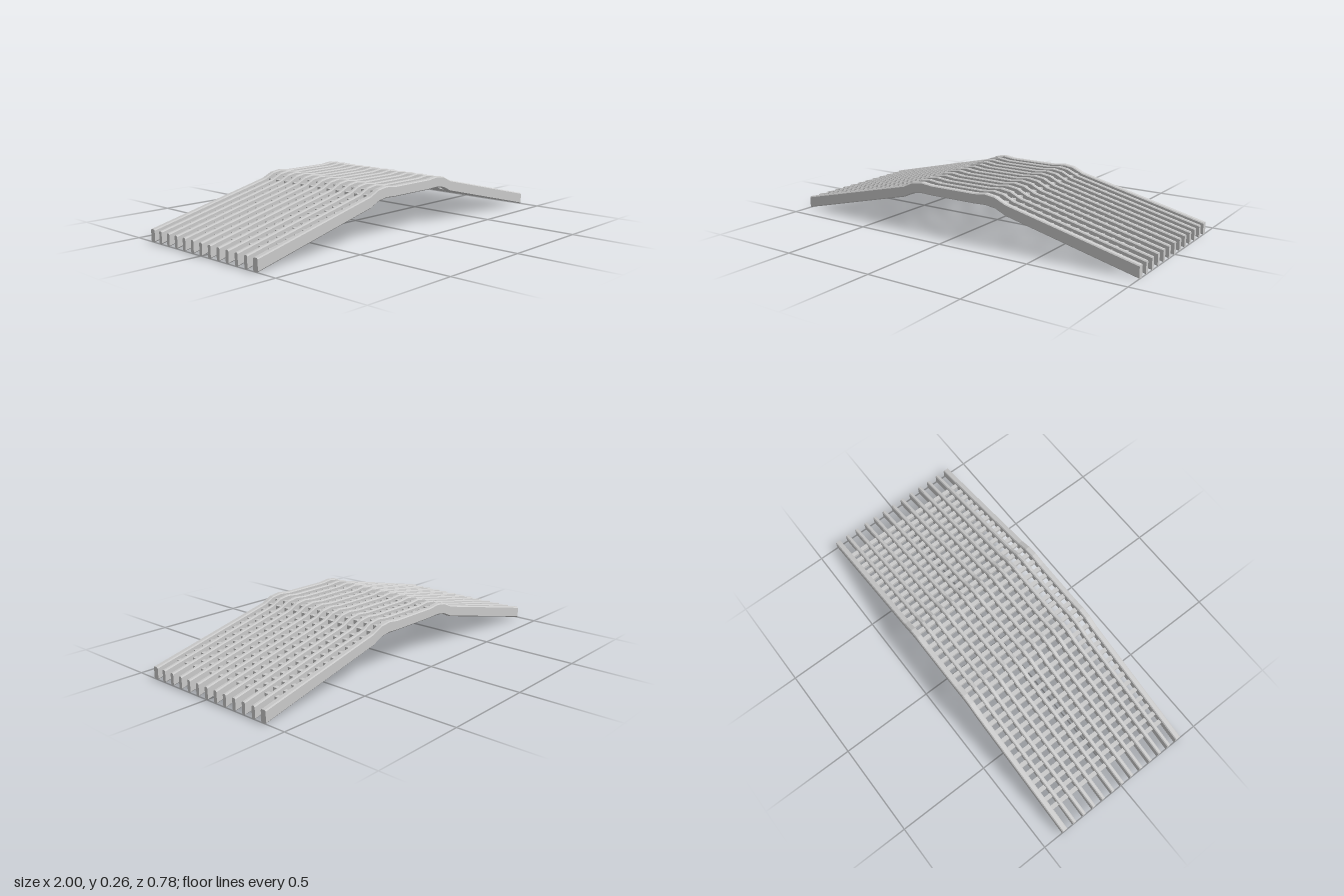
import * as THREE from 'three';

// Bar centreline from one end to the other: [x, y, half height]
const half = [[-1, 0.031, 0.031], [-0.31, 0.194, 0.029], [-0.25, 0.221, 0.029], [-0.195, 0.229, 0.0285], [-0.13, 0.224, 0.026]];
const path = [...half, ...half.map(([x, y, h]) => [-x, y, h]).reverse()];

// Centreline height at any x
function heightAt(x) {
  const i = Math.max(1, path.findIndex((p) => p[0] >= x));
  const [a, b] = [path[i - 1], path[i]];
  return THREE.MathUtils.mapLinear(x, a[0], b[0], a[1], b[1]);
}

// Chamfered section extruded one step per path point, then bent onto the path
function bentBar(width) {
  const w = width / 2, c = 0.005, k = 0.83; // k: chamfer start as a share of half height
  const section = new THREE.Shape([
    [w - c, -1], [w, -k], [w, k], [w - c, 1], [c - w, 1], [-w, k], [-w, -k], [c - w, -1],
  ].map(([x, y]) => new THREE.Vector2(x, y)));
  const steps = path.length - 1;
  const geo = new THREE.ExtrudeGeometry(section, { depth: steps, steps, bevelEnabled: false });
  const pos = geo.attributes.position;
  for (let i = 0; i < pos.count; i++) {
    const [x, y, h] = path[Math.round(pos.getZ(i))];
    pos.setXYZ(i, x, y + pos.getY(i) * h, -pos.getX(i));
  }
  geo.computeVertexNormals();
  return geo;
}

export function createModel() {
  const model = new THREE.Group();
  model.name = 'bentGrate';
  const material = new THREE.MeshStandardMaterial({ color: 0xcccccc, flatShading: true });
  const add = (geo, name, x, y, z) => {
    const mesh = new THREE.Mesh(geo, material);
    mesh.name = name;
    mesh.position.set(x, y, z);
    model.add(mesh);
  };

  // Thick side rails with thinner bars evenly spaced between
  const rail = bentBar(0.03), bar = bentBar(0.02);
  for (let i = -6; i <= 6; i++) {
    const side = Math.abs(i) === 6;
    add(side ? rail : bar, side ? 'sideRail' : 'longBar', 0, 0, i * 0.0625);
  }

  // Cross slats threaded through the bars along the centreline
  const slat = new THREE.BoxGeometry(0.022, 0.02, 0.75);
  for (let i = 0; i < 36; i++) {
    const x = -0.875 + i * 0.05;
    add(slat, 'crossSlat', x, heightAt(x), 0);
  }
  return model;
}
